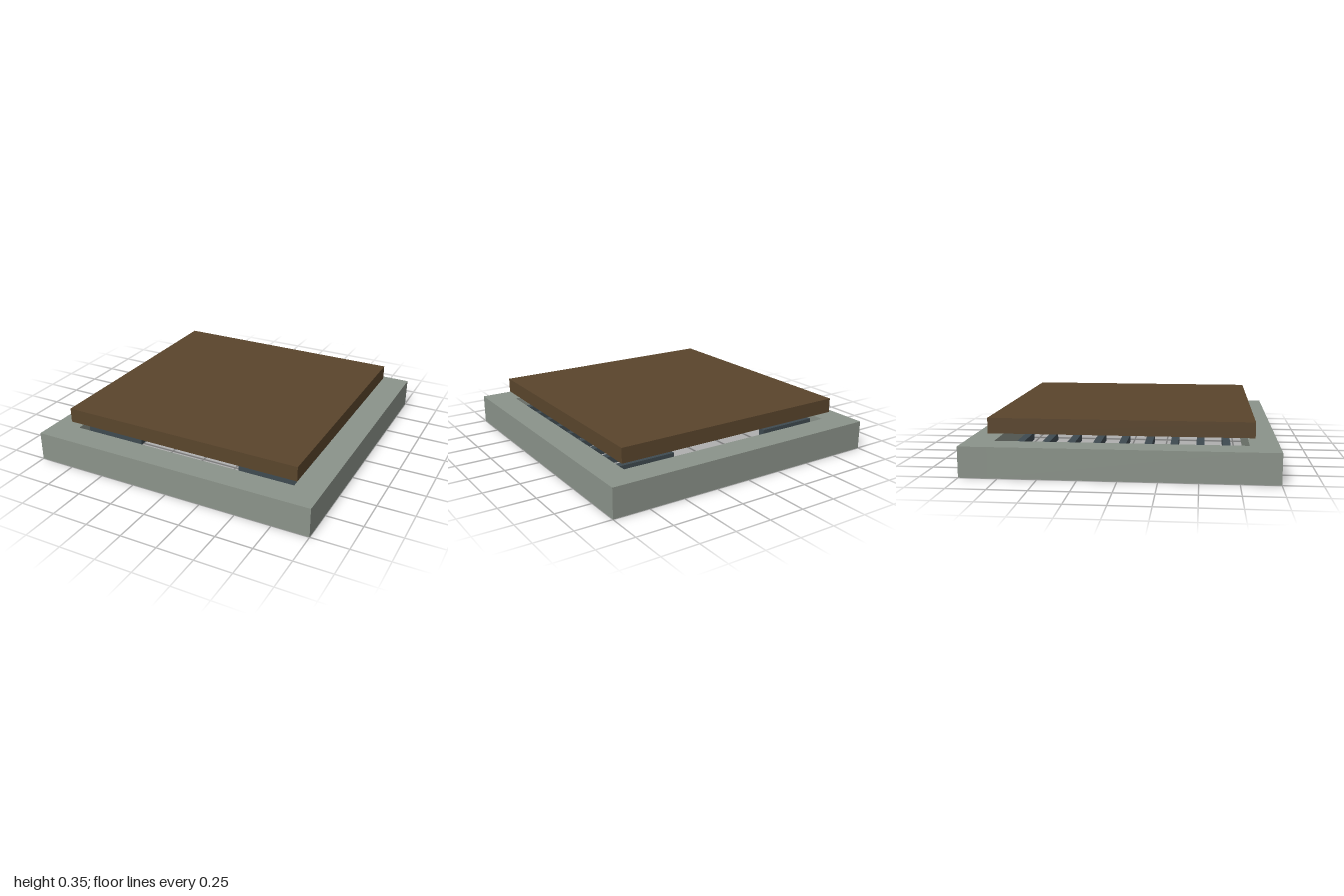
import * as THREE from 'three';

export function createModel() {
  const model = new THREE.Group();
  const mat = (name, color) => {
    const m = new THREE.MeshStandardMaterial({ color });
    m.name = name;
    return m;
  };
  const stone = mat('grey green stone', 0x8b938a);
  const wood = mat('dark brown wood', 0x5a452c);
  const iron = mat('dark slate iron', 0x3e4a50);

  const box = (name, material, size, pos) => {
    const mesh = new THREE.Mesh(new THREE.BoxGeometry(...size), material);
    mesh.name = name;
    mesh.position.set(...pos);
    model.add(mesh);
  };

  const beam = 0.187; // frame beam width
  const inner = 1 - beam;
  const slats = 9;

  for (const s of [-1, 1]) {
    // Square base frame: full-length front and back beams, side beams between
    box(s > 0 ? 'frontBeam' : 'backBeam', stone, [2, 0.2, beam], [0, 0.1, s * (1 - beam / 2)]);
    box(s > 0 ? 'leftBeam' : 'rightBeam', stone, [beam, 0.2, inner * 2], [s * (1 - beam / 2), 0.1, 0]);

    // Row of short slats reaching inward from each side beam
    const tip = 0.375;
    for (let i = 0; i < slats; i++) {
      const z = -0.675 + (1.35 * i) / (slats - 1);
      box(s > 0 ? 'leftSlat' : 'rightSlat', iron, [inner - tip, 0.05, 0.05], [s * (inner + tip) / 2, 0.145, z]);
    }
  }

  // Raised plate hovering above the frame
  box('topPlate', wood, [1.69, 0.1, 1.69], [0, 0.305, 0]);

  return model;
}
